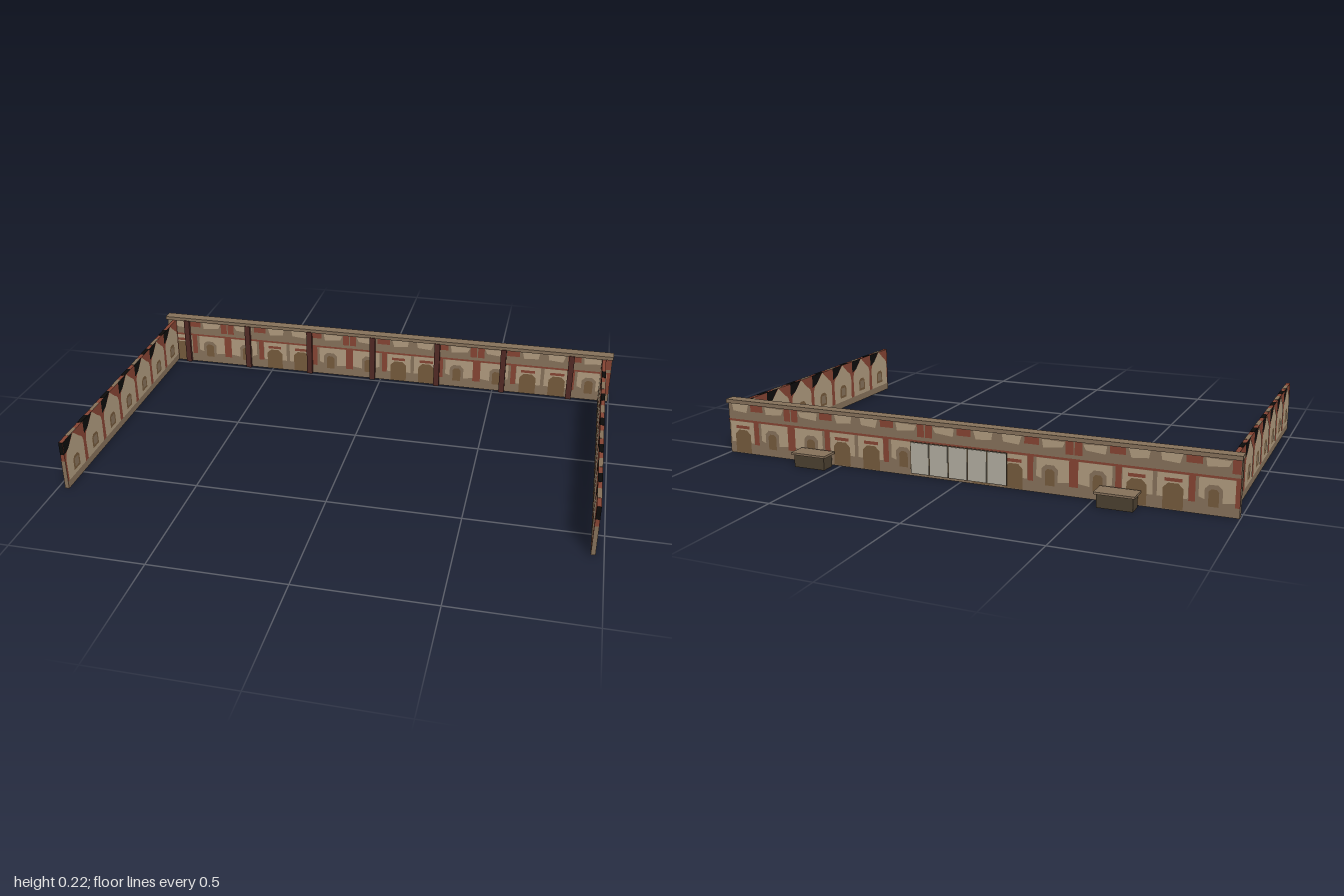
import * as THREE from 'three';

const mat = (name, color) => {
  const m = new THREE.MeshStandardMaterial({ color });
  m.name = name;
  return m;
};

export function createModel() {
  const cream = mat('cream plaster', 0xb09b7e);
  const red = mat('brick red', 0x864433);
  const tan = mat('tan stone', 0x86715a);
  const brown = mat('brown opening', 0x755a3c);
  const black = mat('black', 0x0d0c0b);
  const maroon = mat('dark maroon', 0x522a25);
  const wood = mat('dark wood', 0x4c4030);
  const grey = mat('pale grey', 0xb2ada0);

  const model = new THREE.Group();
  model.name = 'courtyardWalls';

  // Box given by its minimum and maximum corners
  const box = (parent, name, m, a, b) => {
    const mesh = new THREE.Mesh(new THREE.BoxGeometry(b[0] - a[0], b[1] - a[1], b[2] - a[2]), m);
    mesh.position.set((a[0] + b[0]) / 2, (a[1] + b[1]) / 2, (a[2] + b[2]) / 2);
    mesh.name = name;
    parent.add(mesh);
    return mesh;
  };
  // Flat painted polygon facing local +z, raised by its layer number
  const paint = (parent, name, m, pts, x = 0, layer = 1) => {
    const shape = new THREE.Shape(pts.map(p => new THREE.Vector2(p[0], p[1])));
    const mesh = new THREE.Mesh(new THREE.ShapeGeometry(shape), m);
    mesh.position.set(x, 0, layer * 0.0007);
    mesh.name = name;
    parent.add(mesh);
  };
  const rect = (x0, x1, y0, y1) => [[x0, y0], [x1, y0], [x1, y1], [x0, y1]];
  const arch = (x0, x1, y0, y1) => {
    const w = (x1 - x0) * 0.25;
    return [[x0, y0], [x1, y0], [x1, y1 - w], [x1 - w, y1], [x0 + w, y1], [x0, y1 - w]];
  };

  // ---- Side walls: seven gabled bays on each face ----
  const L = 1.145, midZ = 0.0525;
  const gable = [[-0.07, 0.033], [0.07, 0.033], [0.072, 0.125], [0.066, 0.143], [0.058, 0.152],
    [0.045, 0.16], [0, 0.199], [-0.045, 0.16], [-0.058, 0.152], [-0.066, 0.143], [-0.072, 0.125]];
  const wedge = [[-0.079, 0.2], [-0.079, 0.147], [-0.045, 0.158], [-0.003, 0.2]];

  const sideFace = () => {
    const face = new THREE.Group();
    face.name = 'gabledFace';
    paint(face, 'baseStrip', tan, rect(-L / 2, L / 2, 0.003, 0.033));
    for (let i = 0; i < 7; i++) {
      const x = -L / 2 + 0.08 + i * 0.164;
      paint(face, 'cornerShade', black, wedge, x, 1);
      paint(face, 'gablePanel', cream, gable, x, 2);
      paint(face, 'window', brown, arch(-0.025, 0.025, 0.05, 0.107), x, 3);
      paint(face, 'windowPane', tan, rect(-0.015, 0.015, 0.06, 0.095), x, 4);
    }
    return face;
  };

  for (const side of [-1, 1]) {
    const wall = new THREE.Group();
    wall.name = side > 0 ? 'leftWall' : 'rightWall';
    const cx = side * 0.963, h = 0.008;
    box(wall, 'wallCore', red, [cx - h, 0.003, midZ - L / 2], [cx + h, 0.199, midZ + L / 2]);
    for (const dir of [-1, 1]) {
      const face = sideFace();
      face.rotation.y = dir * Math.PI / 2;
      face.position.set(cx + dir * h, 0, midZ);
      wall.add(face);
    }
    // Colour changes along the top edge
    for (let i = 0; i < 5; i++) {
      const z = -0.4 + i * 0.203;
      box(wall, 'topShade', black, [cx - h, 0.199, z], [cx + h, 0.2, z + 0.058]);
      box(wall, 'topStone', tan, [cx - h, 0.199, z + 0.1], [cx + h, 0.2, z + 0.16]);
    }
    // Front end of the wall
    const end = new THREE.Group();
    end.name = 'wallEnd';
    end.position.set(cx, 0, midZ + L / 2);
    paint(end, 'endShade', black, rect(-h, h, 0.147, 0.199));
    paint(end, 'endPlaster', tan, rect(-h, h, 0.003, 0.12));
    wall.add(end);
    model.add(wall);
  }

  // ---- Back wall ----
  const back = new THREE.Group();
  back.name = 'backWall';
  model.add(back);
  box(back, 'wallCore', tan, [-0.997, 0, -0.546], [0.997, 0.2, -0.521]);
  box(back, 'coping', tan, [-1, 0.2, -0.556], [1, 0.215, -0.511]);

  // Weathered facade, repeated with every second bay mirrored
  const pitch = 0.2849;
  const patches = [
    ['plaster', cream, rect(-0.135, -0.03, 0.045, 0.128), 1],
    ['plaster', cream, [[0.005, 0.06], [0.06, 0.04], [0.132, 0.05], [0.132, 0.128], [0.005, 0.128]], 1],
    ['upperPlaster', cream, [[-0.12, 0.17], [-0.06, 0.165], [-0.05, 0.198], [-0.125, 0.198]], 1],
    ['upperPlaster', cream, [[0.03, 0.165], [0.1, 0.172], [0.11, 0.192], [0.025, 0.195]], 1],
    ['upperBrick', red, rect(-0.04, 0.015, 0.172, 0.199), 1],
    ['upperBrick', red, rect(0.112, 0.14, 0.15, 0.199), 1],
    ['ledgeLine', red, rect(-0.1425, 0.1425, 0.129, 0.137), 2],
    ['brickPost', red, rect(-0.028, -0.006, 0.04, 0.13), 2],
    ['brickPost', red, rect(0.126, 0.1425, 0.035, 0.13), 2],
    ['brickBand', red, rect(-0.11, -0.05, 0.1, 0.112), 2],
    ['doorway', brown, arch(-0.115, -0.045, 0.004, 0.095), 3],
    ['archway', tan, arch(0.025, 0.085, 0.03, 0.105), 3],
    ['archOpening', brown, arch(0.038, 0.073, 0.03, 0.09), 4],
  ];
  const facade = name => {
    const face = new THREE.Group();
    face.name = name;
    for (let i = 0; i < 7; i++) {
      const s = i % 2 ? -1 : 1;
      for (const [label, m, pts, layer] of patches) {
        const p = pts.map(([x, y]) => [x * s, y]);
        paint(face, label, m, p, (i - 3) * pitch, layer);
      }
    }
    back.add(face);
    return face;
  };
  facade('innerFacade').position.z = -0.521;
  const outer = facade('outerFacade');
  outer.position.z = -0.546;
  outer.rotation.y = Math.PI;

  // Pale shutters in the middle of the outer side
  box(back, 'shutterFrame', wood, [-0.18, 0.01, -0.5505], [0.2, 0.13, -0.546]);
  for (let i = 0; i < 5; i++) {
    const x = -0.178 + i * 0.076;
    box(back, 'shutter', grey, [x, 0.012, -0.553], [x + 0.07, 0.128, -0.55]);
  }

  // Slim posts along the inner side
  for (let i = 0; i < 7; i++) {
    const x = -0.902 + i * 0.2885;
    box(back, 'post', maroon, [x - 0.012, 0, -0.521], [x + 0.012, 0.203, -0.507]);
  }

  // Two benches against the outer side
  for (const x of [-0.596, 0.591]) {
    const bench = new THREE.Group();
    bench.name = 'bench';
    box(bench, 'benchBody', wood, [x - 0.064, 0, -0.618], [x + 0.064, 0.049, -0.563]);
    box(bench, 'benchTop', tan, [x - 0.072, 0.049, -0.627], [x + 0.072, 0.057, -0.555]);
    model.add(bench);
  }
  return model;
}
